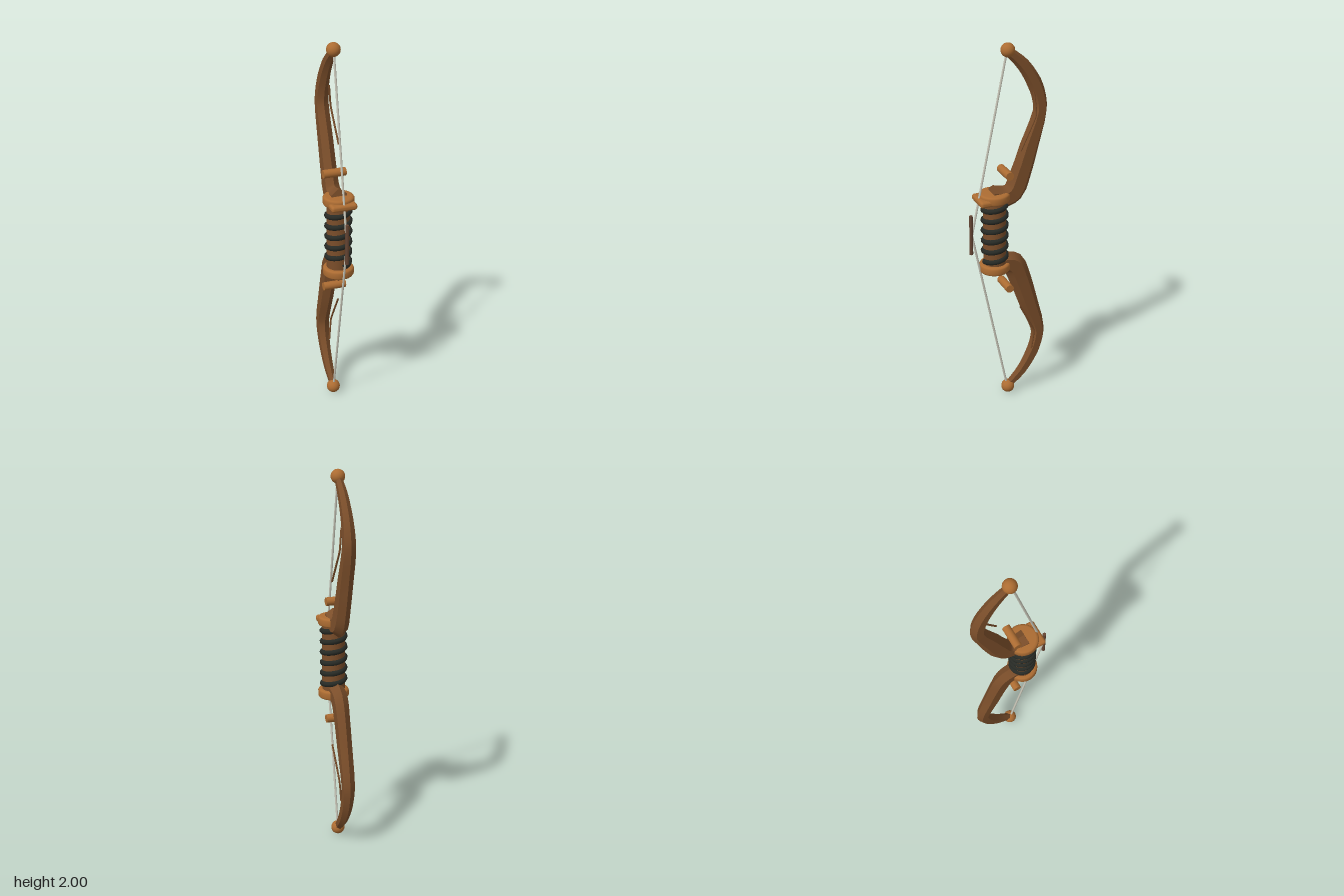
import * as THREE from 'three';
import { RoundedBoxGeometry } from 'three/addons/geometries/RoundedBoxGeometry.js';
import { toCreasedNormals } from 'three/addons/utils/BufferGeometryUtils.js';

const material = (name, color) => {
  const m = new THREE.MeshStandardMaterial({ color });
  m.name = name;
  return m;
};

// Hexagonal limb swept along a curve in the yz plane, measured from the bow's middle.
function limbGeometry() {
  // y, z, half width, half depth
  const keys = [
    [0.205, 0.095, 0.041, 0.06], [0.19, 0.025, 0.039, 0.062], [0.208, -0.028, 0.037, 0.064],
    [0.31, -0.073, 0.034, 0.06], [0.45, -0.118, 0.033, 0.053], [0.63, -0.174, 0.031, 0.038],
    [0.70, -0.169, 0.029, 0.038], [0.78, -0.142, 0.026, 0.039], [0.88, -0.081, 0.022, 0.033],
    [0.96, 0, 0.016, 0.023],
  ];
  const path = new THREE.CatmullRomCurve3(keys.map(k => new THREE.Vector3(0, k[0], k[1])));
  const steps = 27, pos = [], idx = [];
  for (let i = 0; i <= steps; i++) {
    const t = i / steps, f = t * (keys.length - 1);
    const a = Math.min(Math.floor(f), keys.length - 2), u = f - a;
    const w = THREE.MathUtils.lerp(keys[a][2], keys[a + 1][2], u);
    const d = THREE.MathUtils.lerp(keys[a][3], keys[a + 1][3], u);
    const p = path.getPoint(t), tan = path.getTangent(t);
    for (let j = 0; j < 6; j++) {
      const ang = j * Math.PI / 3;
      const x = w * Math.sin(ang) / Math.sin(Math.PI / 3), n = d * Math.cos(ang);
      pos.push(x, p.y - tan.z * n, p.z + tan.y * n);
    }
  }
  for (let i = 0; i < steps; i++) {
    for (let j = 0; j < 6; j++) {
      const a = i * 6 + j, b = i * 6 + (j + 1) % 6;
      idx.push(a, b, b + 6, a, b + 6, a + 6);
    }
  }
  const e = steps * 6;
  for (let j = 1; j < 5; j++) idx.push(0, j + 1, j, e, e + j, e + j + 1);
  const g = new THREE.BufferGeometry();
  g.setAttribute('position', new THREE.Float32BufferAttribute(pos, 3));
  g.setIndex(idx);
  return toCreasedNormals(g, 0.4);
}

export function createModel() {
  const bow = new THREE.Group();
  bow.name = 'bow';
  const wood = material('brown wood', 0x7b4e2a);
  const trim = material('light wood', 0xac6c32);
  const wrap = material('dark wrap', 0x272a25);
  const cord = material('pale cord', 0xc8c6b8);
  const darkWood = material('dark wood', 0x664634);

  const add = (parent, name, geometry, mat, x = 0, y = 0, z = 0) => {
    const mesh = new THREE.Mesh(geometry, mat);
    mesh.name = name;
    mesh.position.set(x, y, z);
    parent.add(mesh);
    return mesh;
  };
  // Thin rod between two points
  const rod = (name, a, b, r, mat) => {
    const dir = b.clone().sub(a);
    const mesh = add(bow, name, new THREE.CylinderGeometry(r, r, dir.length(), 8), mat);
    mesh.position.copy(a).add(b).multiplyScalar(0.5);
    mesh.quaternion.setFromUnitVectors(new THREE.Vector3(0, 1, 0), dir.normalize());
  };
  const V = (x, y, z) => new THREE.Vector3(x, y, z);

  // Each half: limb, tip ball, collar and cross peg; the lower half is turned over
  const limb = limbGeometry();
  const collar = new THREE.LatheGeometry([
    [0, -0.025], [0.066, -0.024], [0.076, -0.021], [0.081, -0.013],
    [0.081, 0.013], [0.076, 0.021], [0.066, 0.024], [0, 0.025],
  ].map(p => new THREE.Vector2(...p)), 32);
  for (const upper of [true, false]) {
    const half = new THREE.Group();
    half.name = upper ? 'upperHalf' : 'lowerHalf';
    half.position.y = 1;
    if (!upper) half.rotation.z = Math.PI;
    bow.add(half);
    add(half, 'limb', limb, wood);
    add(half, 'tipBall', new THREE.SphereGeometry(0.036, 24, 16), trim, 0, 0.964, 0);
    add(half, 'collar', collar, trim, 0, 0.2, 0.076);
    add(half, 'crossPeg', new THREE.CylinderGeometry(0.022, 0.022, 0.12, 16), trim, 0, 0.322, 0.013)
      .rotation.z = Math.PI / 2;

    // Thin twig beside the inner edge of the limb
    const s = upper ? 1 : -1;
    const twig = new THREE.CatmullRomCurve3([
      V(0.024, 1 + s * 0.74, -0.13), V(0.036, 1 + s * 0.62, -0.138), V(0.047, 1 + s * 0.445, -0.05),
    ], false, 'catmullrom', 0.15);
    add(bow, 'twig', new THREE.TubeGeometry(twig, 16, 0.005, 6), wood);

    // Bowstring half
    rod('bowstring', V(0, 1 + s * 0.964, 0.004), V(0, 1, 0.2), 0.006, cord);
  }

  // Grip with its spiral wrap
  add(bow, 'grip', new THREE.CylinderGeometry(0.06, 0.06, 0.37, 24), wood, 0, 1, 0.074);
  const turns = 5.5, spiral = [];
  for (let i = 0; i <= turns * 12; i++) {
    const a = i * Math.PI / 6;
    spiral.push(V(0.058 * Math.sin(a), 0.84 + 0.32 * i / (turns * 12), 0.074 + 0.058 * Math.cos(a)));
  }
  add(bow, 'gripWrap', new THREE.TubeGeometry(new THREE.CatmullRomCurve3(spiral), 180, 0.015, 8), wrap);

  // Arrow rest and nocking sleeve
  add(bow, 'arrowRest', new RoundedBoxGeometry(0.138, 0.034, 0.076, 3, 0.014), trim, 0, 1.19, 0.136);
  add(bow, 'nockSleeve', new THREE.CylinderGeometry(0.01, 0.01, 0.22, 6), darkWood, 0, 1.004, 0.204);
  return bow;
}
